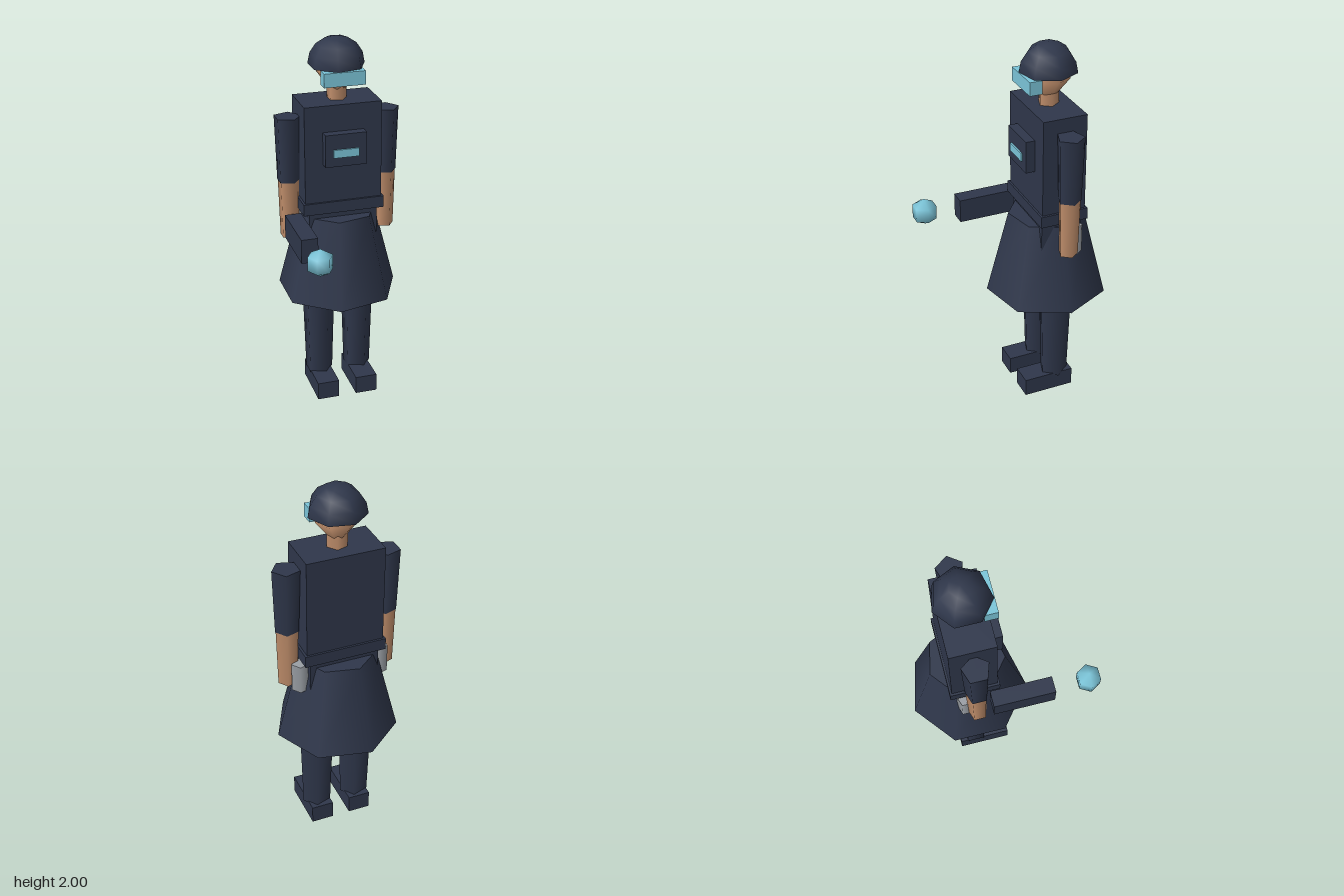
import * as THREE from 'three';

export function createModel() {
  const model = new THREE.Group();
  model.name = 'guardFigure';
  const paint = (name, color) => {
    const m = new THREE.MeshStandardMaterial({ color });
    m.name = name;
    return m;
  };
  const navy = paint('navy cloth', 0x2f374b);
  const skin = paint('skin', 0xc08e6b);
  const cyan = paint('cyan glow', 0x7cc6da);
  const grey = paint('grey metal', 0x9a9fa5);

  // The body stands slightly off the origin
  const CX = -0.005, CZ = -0.165;

  function add(name, geometry, material, x, y, z) {
    const mesh = new THREE.Mesh(geometry, material);
    mesh.name = name;
    mesh.position.set(x, y, z);
    model.add(mesh);
    return mesh;
  }
  // Box spanning y0..y1
  const box = (name, mat, w, d, y0, y1, x, z) =>
    add(name, new THREE.BoxGeometry(w, y1 - y0, d), mat, x, (y0 + y1) / 2, z);
  // Tapered prism spanning y0..y1, with a corner towards +x
  const prism = (name, mat, sides, rTop, rBottom, y0, y1, x, z) =>
    add(name, new THREE.CylinderGeometry(rTop, rBottom, y1 - y0, sides).rotateY(Math.PI / 2),
      mat, x, (y0 + y1) / 2, z);

  // Torso, belt and hips
  box('torso', navy, 0.412, 0.238, 1.1, 1.675, CX, CZ);
  box('belt', navy, 0.436, 0.26, 1.09, 1.153, CX, CZ);
  box('hips', navy, 0.37, 0.224, 0.93, 1.1, CX, CZ);
  prism('skirt', navy, 7, 0.206, 0.325, 0.6, 1.06, CX, CZ);

  // Chest unit and its screen
  box('chestUnit', navy, 0.22, 0.055, 1.362, 1.535, CX, -0.023);
  box('chestScreen', cyan, 0.135, 0.009, 1.412, 1.455, CX, 0.0085);

  // Neck, head, visor
  prism('neck', skin, 5, 0.054, 0.054, 1.66, 1.76, CX, CZ);
  const head = add('head', new THREE.SphereGeometry(0.113, 7, 2).rotateY(Math.PI), skin, CX, 1.82, CZ);
  head.scale.y = 1.3;
  box('visor', cyan, 0.217, 0.068, 1.778, 1.85, CX, -0.05);

  // Helmet dome with a flat underside
  add('helmet', new THREE.SphereGeometry(0.15, 7, 4, 0, Math.PI * 2, 0, Math.PI / 2).rotateY(Math.PI),
    navy, CX, 1.85, CZ);
  add('helmetUnderside', new THREE.CircleGeometry(0.15, 7).rotateX(Math.PI / 2), navy, CX, 1.85, CZ);

  // Limbs, boots and hip canisters on both sides
  for (const [side, s] of [['left', 1], ['right', -1]]) {
    prism(side + 'UpperArm', navy, 5, 0.073, 0.062, 1.25, 1.6, CX + s * 0.265, CZ);
    prism(side + 'Forearm', skin, 5, 0.059, 0.051, 0.937, 1.25, CX + s * 0.265, CZ);
    prism(side + 'Leg', navy, 5, 0.103, 0.077, 0.09, 0.93, CX + s * 0.11, CZ);
    box(side + 'Boot', navy, 0.12, 0.28, 0, 0.1, CX + s * 0.109, -0.114);
    prism(side + 'Canister', grey, 5, 0.046, 0.046, 0.915, 1.07, CX + s * 0.217, -0.217);
  }

  // Hand-held emitter with a floating orb in front of it
  box('emitter', navy, 0.087, 0.328, 0.958, 1.087, -0.268, 0.074);
  add('orb', new THREE.SphereGeometry(0.074, 6, 3), cyan, -0.267, 1.045, 0.424);

  return model;
}
